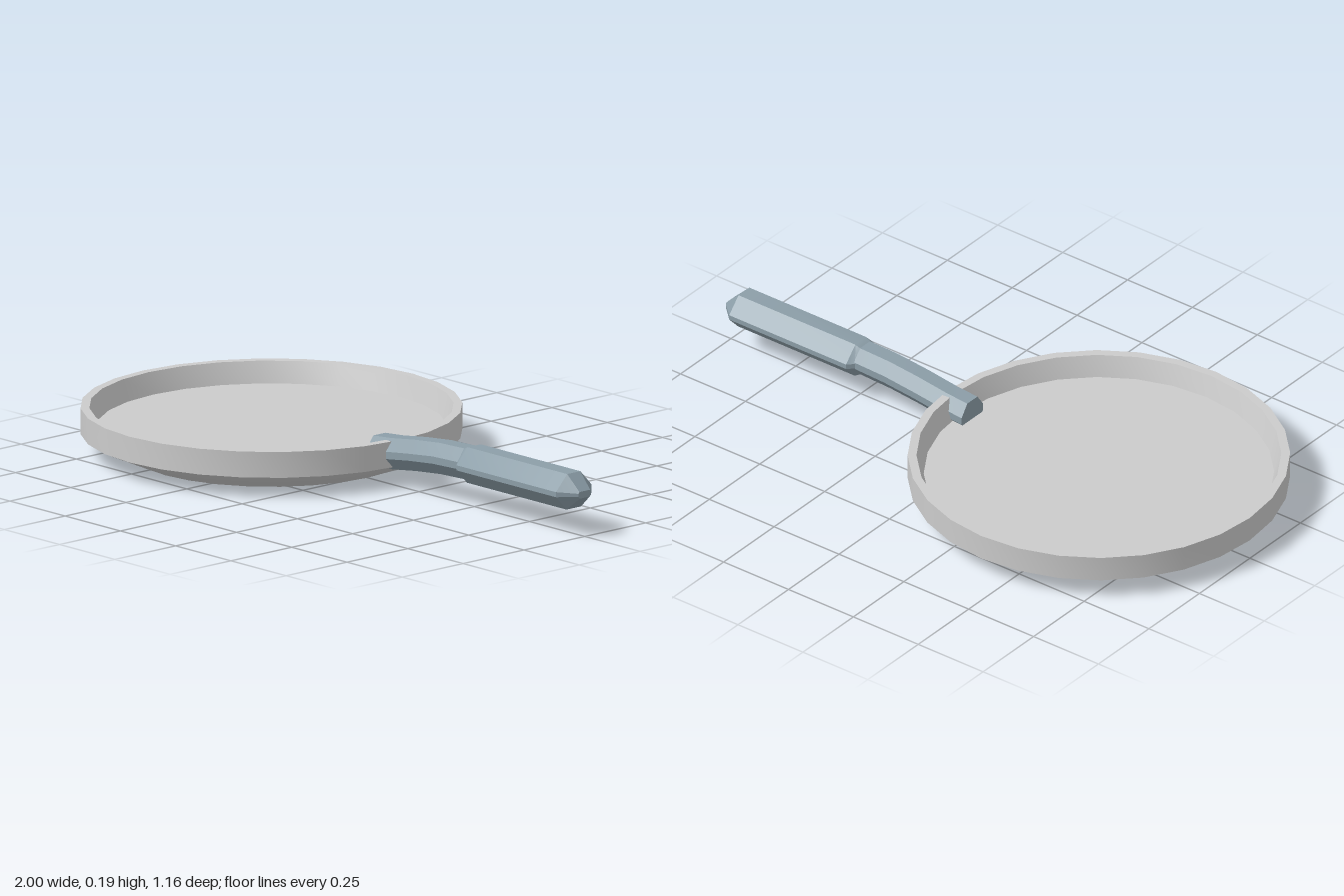
import * as THREE from 'three';
import { toCreasedNormals } from 'three/addons/utils/BufferGeometryUtils.js';

const CREASE = 0.5;

// Lofts eight-sided sections along x: [x, bottom, lowSide, highSide, top, bottomHalf, sideHalf, topHalf]
function loft(sections) {
  const positions = [];
  const index = [];
  const n = 8;
  for (const [x, bottom, low, high, top, b, s, t] of sections) {
    positions.push(x, top, t, x, high, s, x, low, s, x, bottom, b);
    positions.push(x, bottom, -b, x, low, -s, x, high, -s, x, top, -t);
  }
  for (let j = 0; j < sections.length - 1; j++) {
    for (let i = 0; i < n; i++) {
      const a = j * n + i;
      const c = j * n + ((i + 1) % n);
      index.push(a, c, c + n, a, c + n, a + n);
    }
  }
  // End caps
  const end = (sections.length - 1) * n;
  for (let i = 1; i < n - 1; i++) {
    index.push(0, i + 1, i);
    index.push(end, end + i, end + i + 1);
  }
  const geometry = new THREE.BufferGeometry();
  geometry.setAttribute('position', new THREE.Float32BufferAttribute(positions, 3));
  geometry.setIndex(index);
  return toCreasedNormals(geometry, CREASE);
}

function addMesh(parent, name, geometry, material) {
  const mesh = new THREE.Mesh(geometry, material);
  mesh.name = name;
  parent.add(mesh);
  return mesh;
}

export function createModel() {
  const group = new THREE.Group();
  group.name = 'fryingPan';
  const metal = new THREE.MeshStandardMaterial({ color: 0xcccccc });
  const handleMaterial = new THREE.MeshStandardMaterial({ color: 0x8c9ea8 });

  // Pan: sloped underside, upright rim and raised inner floor
  const profile = [
    [0, 0], [0.435, 0], [0.582, 0.065], [0.582, 0.146],
    [0.555, 0.146], [0.533, 0.08], [0, 0.08],
  ].map(([r, y]) => new THREE.Vector2(r, y));
  const pan = addMesh(group, 'pan', toCreasedNormals(new THREE.LatheGeometry(profile, 28), CREASE), metal);
  pan.position.x = -0.418;

  const handle = new THREE.Group();
  handle.name = 'handle';
  group.add(handle);

  // Stem: passes through the rim and bends up to level
  addMesh(handle, 'stem', loft([
    [0.07, 0.046, 0.085, 0.108, 0.147, 0.02, 0.053, 0.025],
    [0.15, 0.055, 0.093, 0.116, 0.154, 0.02, 0.053, 0.025],
    [0.26, 0.07, 0.108, 0.13, 0.169, 0.02, 0.053, 0.025],
    [0.37, 0.081, 0.119, 0.142, 0.18, 0.02, 0.053, 0.025],
    [0.50, 0.086, 0.124, 0.146, 0.184, 0.02, 0.053, 0.025],
  ]), handleMaterial);

  // Grip: thicker, with bevelled ends
  addMesh(handle, 'grip', loft([
    [0.48, 0.09, 0.126, 0.142, 0.182, 0.022, 0.053, 0.025],
    [0.50, 0.08, 0.126, 0.142, 0.191, 0.03, 0.073, 0.027],
    [0.95, 0.08, 0.126, 0.142, 0.191, 0.03, 0.073, 0.027],
    [1.00, 0.122, 0.128, 0.138, 0.143, 0.02, 0.026, 0.022],
  ]), handleMaterial);

  return group;
}
